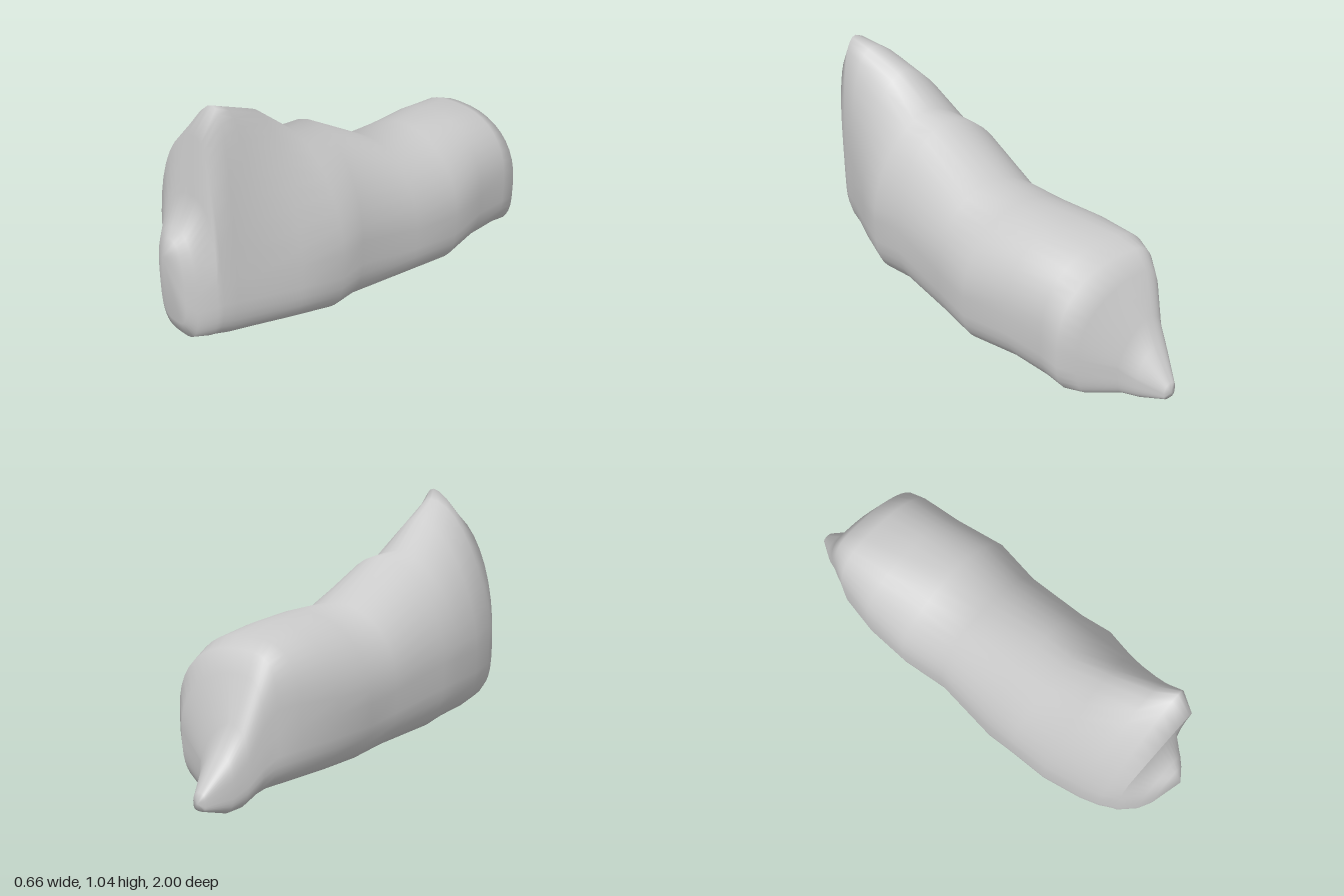
import * as THREE from 'three';

// Cross-sections from the tail tip to the chest:
// z, left edge, right edge, ridge x, bottom y, top y, roundness of the upper half, forward lean of the top
const SECTIONS = [
  [-0.99, -0.15, -0.09, -0.12, 0.03, 0.10, 2, 0],
  [-0.90, -0.20, -0.03, -0.12, 0, 0.22, 1.6, 0],
  [-0.84, -0.22, 0.02, -0.13, 0, 0.32, 1.5, 0],
  [-0.78, -0.25, 0.18, -0.13, 0.02, 0.49, 2, 0],
  [-0.73, -0.27, 0.24, -0.10, 0.03, 0.57, 2.3, 0],
  [-0.65, -0.31, 0.25, -0.06, 0.04, 0.60, 2.4, 0],
  [-0.47, -0.34, 0.27, -0.02, 0.04, 0.62, 2.2, 0],
  [-0.26, -0.34, 0.32, 0, 0.03, 0.63, 2, 0],
  [-0.05, -0.31, 0.29, 0, 0.03, 0.63, 2.1, 0],
  [0.25, -0.34, 0.28, 0, 0.04, 0.79, 1.9, 0],
  [0.38, -0.33, 0.31, 0, 0.05, 0.80, 1.8, 0],
  [0.55, -0.32, 0.26, 0.01, 0.06, 0.93, 1.7, 0],
  [0.72, -0.28, 0.20, 0.05, 0.07, 1, 1.75, 0],
  [0.80, -0.25, 0.18, 0.09, 0.08, 1.04, 1.55, 0],
  [0.85, -0.22, 0.16, 0.07, 0.09, 0.94, 1.9, 0.025],
  [0.87, -0.21, 0.15, 0, 0.09, 0.67, 2.2, -0.02],
  [0.93, -0.14, 0.10, 0, 0.10, 0.56, 2.4, 0],
  [0.96, -0.09, 0.07, 0, 0.17, 0.53, 2.2, 0],
];
const SIDES = 40;

function ringPoint([z, left, right, ridge, bottom, top, round, lean], j) {
  const a = (j / SIDES) * Math.PI * 2;
  const c = Math.cos(a), s = Math.sin(a);
  const upper = s >= 0;
  // the side the ridge leans towards is steeper, the belly is boxy
  const steepness = Math.max(0, 10 * ridge * Math.sign(c));
  const power = 2 / (upper ? round + steepness : 3.4);
  const w = Math.abs(c) ** power, h = Math.abs(s) ** power;
  // widest a little below half height, and never up in the head
  const wide = Math.min(0.36, THREE.MathUtils.lerp(bottom, top, 0.45));
  // the upper half leans to the ridge, the belly stays centred between the edges
  const middle = upper ? ridge : THREE.MathUtils.lerp(ridge, (left + right) / 2, Math.min(1, h * 2));
  const edge = c >= 0 ? right : left;
  return [
    middle + (edge - middle) * w,
    wide + ((upper ? top : bottom) - wide) * h,
    z + (upper ? lean * h : 0),
  ];
}

function loft(sections, backTip, frontTip) {
  const positions = [], index = [];
  for (const section of sections) {
    for (let j = 0; j < SIDES; j++) positions.push(...ringPoint(section, j));
  }
  const last = (sections.length - 1) * SIDES;
  const back = sections.length * SIDES, front = back + 1;
  positions.push(...backTip, ...frontTip);
  for (let j = 0; j < SIDES; j++) {
    const k = (j + 1) % SIDES;
    for (let r = 0; r < last; r += SIDES) {
      index.push(r + j, r + k, r + SIDES + j);
      index.push(r + k, r + SIDES + k, r + SIDES + j);
    }
    index.push(back, k, j, front, last + j, last + k);
  }
  const geometry = new THREE.BufferGeometry();
  geometry.setAttribute('position', new THREE.Float32BufferAttribute(positions, 3));
  geometry.setIndex(index);
  geometry.computeVertexNormals();
  return geometry;
}

export function createModel() {
  const group = new THREE.Group();
  group.name = 'lyingAnimal';
  // one continuous skin: tail, back, raised head and chest
  const body = new THREE.Mesh(
    loft(SECTIONS, [-0.12, 0.06, -1], [0, 0.47, 1]),
    new THREE.MeshStandardMaterial({ color: 0xcccccc }),
  );
  body.name = 'body';
  group.add(body);
  return group;
}
